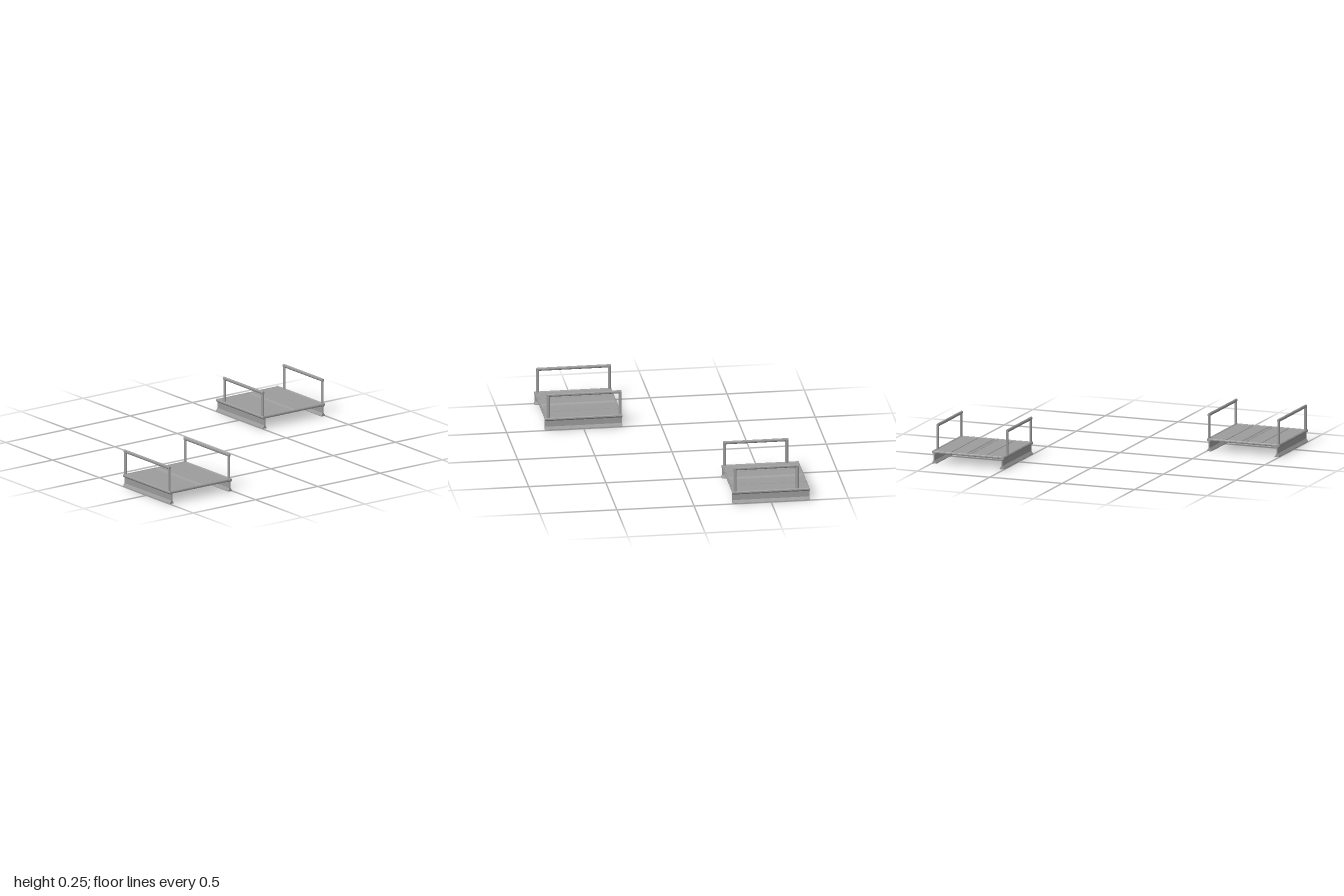
import * as THREE from 'three';

const material = new THREE.MeshStandardMaterial({ color: 0x9c9c9c, flatShading: true });

function add(group, name, geometry, x = 0, y = 0, z = 0) {
  const mesh = new THREE.Mesh(geometry, material);
  mesh.name = name;
  mesh.position.set(x, y, z);
  group.add(mesh);
}

// Extrude a symmetric half profile of [depth, height] points along x
function beamGeometry(half, length) {
  const mirrored = half.map(([d, h]) => [-d, h]).reverse();
  const shape = new THREE.Shape([...half, ...mirrored].map(([d, h]) => new THREE.Vector2(d, h)));
  const geometry = new THREE.ExtrudeGeometry(shape, { depth: length, bevelEnabled: false });
  geometry.translate(0, 0, -length / 2);
  return geometry.rotateY(Math.PI / 2);
}

// Upright bar with an eight-sided section, width along x and depth along z
function barGeometry(length, width, depth) {
  const r = 0.5 / Math.cos(Math.PI / 8);
  const geometry = new THREE.CylinderGeometry(r, r, length, 8, 1, false, Math.PI / 8);
  return geometry.scale(width, 1, depth);
}

// Open rectangular handrail: two posts and a top bar
function handrail(x0, x1, z) {
  const rail = new THREE.Group();
  rail.name = 'handrail';
  const t = 0.02, depth = 0.014, base = 0.075, barY = 0.237;
  for (const x of [x0 + t / 2, x1 - t / 2]) {
    add(rail, 'railPost', barGeometry(barY - base, t, depth), x, (barY + base) / 2, z);
  }
  const bar = barGeometry(x1 - x0, t, depth).rotateZ(Math.PI / 2);
  add(rail, 'railBar', bar, (x0 + x1) / 2, barY, z);
  return rail;
}

// Square deck on two flanged beams with a handrail along each beam
function platform(railStart, railEnd) {
  const group = new THREE.Group();
  group.name = 'platform';

  // Beams with a sloped foot, thin web and flared head
  const beam = [
    [0.015, 0], [0.015, 0.004], [0.004, 0.022],
    [0.004, 0.06], [0.009, 0.066], [0.009, 0.07],
  ];
  for (const side of [-1, 1]) {
    add(group, 'supportBeam', beamGeometry(beam, 0.501), 0, 0, side * 0.234);
    const sideRim = barGeometry(0.5, 0.019, 0.016).rotateZ(Math.PI / 2);
    add(group, 'sideRim', sideRim, 0, 0.0745, side * 0.242);
    const endRim = barGeometry(0.484, 0.01, 0.016).rotateX(Math.PI / 2);
    add(group, 'endRim', endRim, side * 0.245, 0.0745, 0);
    group.add(handrail(railStart, railEnd, side * 0.24));
  }

  // Deck with a narrow groove either side and a lipped channel in the centre
  const deck = [
    [0.238, 0.067], [0.238, 0.08],
    [0.125, 0.08], [0.123, 0.073], [0.121, 0.073], [0.119, 0.08],
    [0.018, 0.08], [0.016, 0.083], [0.009, 0.076],
  ];
  add(group, 'deck', beamGeometry(deck, 0.482));

  // Ribs beneath the joints
  for (const z of [-0.122, 0, 0.122]) {
    add(group, 'underRib', new THREE.BoxGeometry(0.482, 0.004, 0.01), 0, 0.066, z);
  }
  return group;
}

export function createModel() {
  const model = new THREE.Group();
  model.name = 'platforms';
  const front = platform(-0.246, 0.239);
  front.position.set(0.5, 0, 0.75);
  const back = platform(-0.18, 0.243);
  back.position.set(-0.5, 0, -0.75);
  model.add(front, back);
  return model;
}
